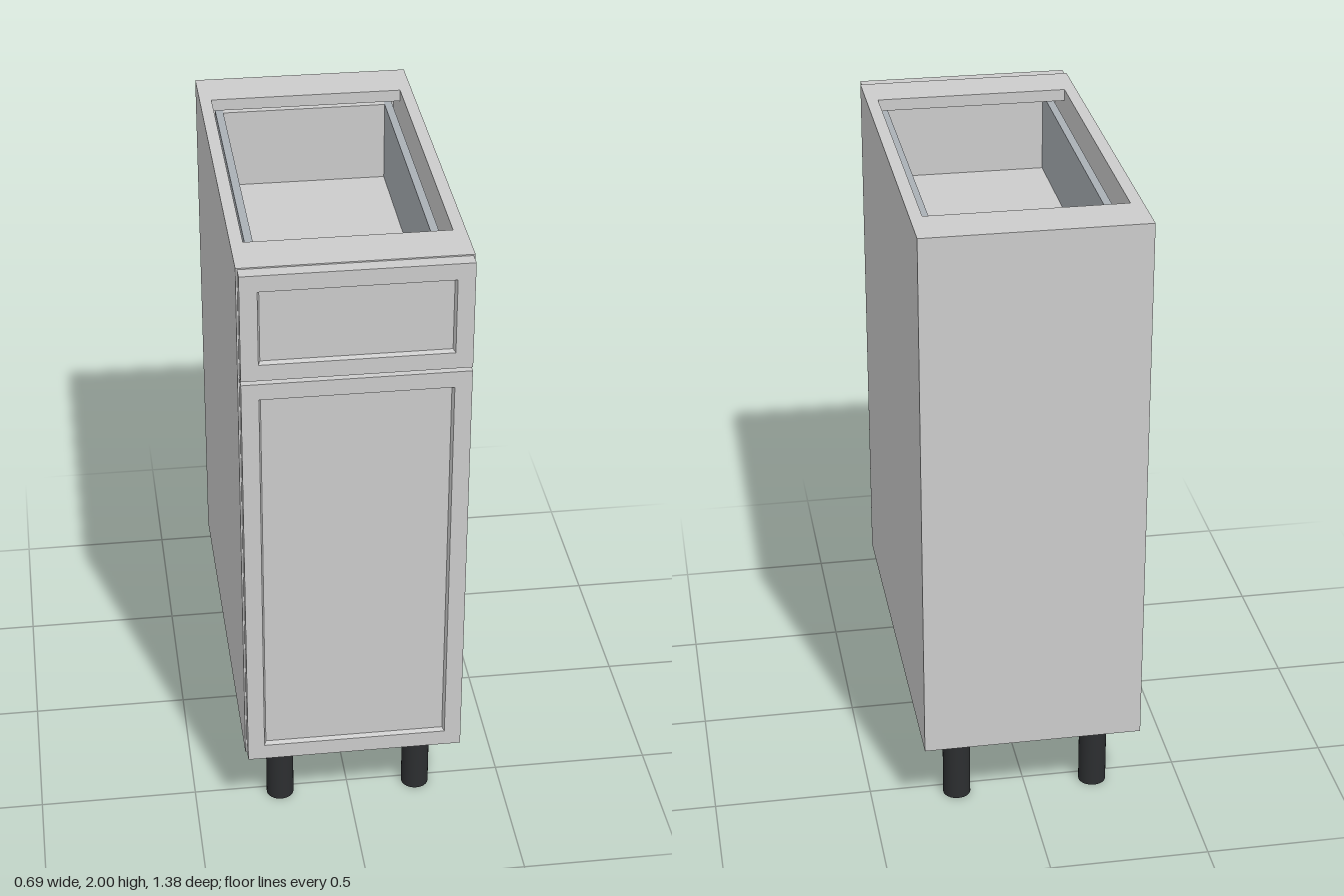
import * as THREE from 'three';

const grey = new THREE.MeshStandardMaterial({ color: 0xcccccc });
const steel = new THREE.MeshStandardMaterial({ color: 0xaab0b6 });
const black = new THREE.MeshStandardMaterial({ color: 0x2c2e30 });

// Box given by its lower and upper corners
function box(name, [x0, y0, z0], [x1, y1, z1], material = grey) {
  const mesh = new THREE.Mesh(new THREE.BoxGeometry(x1 - x0, y1 - y0, z1 - z0), material);
  mesh.position.set((x0 + x1) / 2, (y0 + y1) / 2, (z0 + z1) / 2);
  mesh.name = name;
  return mesh;
}

// Framed front: rectangular loops run from the back edge to the sunken centre panel
function framedFront(name, halfWidth, y0, y1, z0, z1) {
  const frame = 0.052, slope = 0.006, depth = 0.015;
  const loops = [[0, z0], [0, z1], [frame, z1], [frame + slope, z1 - depth]].map(([inset, z]) => {
    const x = halfWidth - inset, b = y0 + inset, t = y1 - inset;
    return [[-x, b, z], [x, b, z], [x, t, z], [-x, t, z]];
  });
  const points = [];
  const quad = (a, b, c, d) => points.push(...a, ...b, ...c, ...a, ...c, ...d);
  for (let i = 0; i < loops.length - 1; i++) {
    for (let k = 0; k < 4; k++) {
      const n = (k + 1) % 4;
      quad(loops[i][k], loops[i][n], loops[i + 1][n], loops[i + 1][k]);
    }
  }
  quad(...loops[loops.length - 1]);
  quad(...[...loops[0]].reverse());
  const geometry = new THREE.BufferGeometry();
  geometry.setAttribute('position', new THREE.Float32BufferAttribute(points, 3));
  geometry.computeVertexNormals();
  const mesh = new THREE.Mesh(geometry, grey);
  mesh.name = name;
  return mesh;
}

export function createModel() {
  const cabinet = new THREE.Group();
  cabinet.name = 'baseCabinet';
  const W = 0.345, IN = 0.307, BACK = -0.69, FRONT = 0.645, LOW = 0.265, TOP = 2;

  // Carcass
  cabinet.add(
    box('leftSide', [IN, LOW, BACK], [W, TOP, FRONT]),
    box('rightSide', [-W, LOW, BACK], [-IN, TOP, FRONT]),
    box('bottomPanel', [-IN, LOW, BACK], [IN, LOW + 0.038, FRONT]),
    box('backPanel', [-IN, LOW + 0.038, BACK], [IN, TOP - 0.038, BACK + 0.038]),
    box('backStretcher', [-IN, TOP - 0.038, BACK], [IN, TOP, -0.525]),
    box('frontStretcher', [-IN, TOP - 0.038, 0.485], [IN, TOP, FRONT]),
    box('drawerRail', [-IN, 1.61, 0.485], [IN, 1.648, FRONT])
  );

  // Drawer box with steel sides and runners
  const drawer = new THREE.Group();
  drawer.name = 'drawer';
  drawer.add(
    box('drawerBottom', [-0.29, 1.65, -0.6], [0.29, 1.67, FRONT]),
    box('drawerBack', [-0.265, 1.67, -0.6], [0.265, 1.93, -0.575])
  );
  for (const [side, s] of [['left', 1], ['right', -1]]) {
    const span = (a, b) => [Math.min(s * a, s * b), Math.max(s * a, s * b)];
    const [a, b] = span(0.265, 0.29), [c, d] = span(0.29, 0.303);
    drawer.add(
      box(side + 'DrawerSide', [a, 1.67, -0.6], [b, 1.93, FRONT], steel),
      box(side + 'Runner', [c, 1.66, -0.6], [d, 1.72, 0.62], steel)
    );
  }
  drawer.add(framedFront('drawerFront', 0.34, 1.654, 1.996, FRONT, 0.69));
  cabinet.add(drawer);

  // Door
  cabinet.add(framedFront('door', 0.34, 0.27, 1.642, FRONT, 0.69));

  // Legs
  const legGeometry = new THREE.CylinderGeometry(0.044, 0.044, LOW, 32);
  for (const x of [-0.223, 0.223]) {
    for (const z of [-0.54, 0.525]) {
      const leg = new THREE.Mesh(legGeometry, black);
      leg.name = (z > 0 ? 'front' : 'back') + (x > 0 ? 'Left' : 'Right') + 'Leg';
      leg.position.set(x, LOW / 2, z);
      cabinet.add(leg);
    }
  }
  return cabinet;
}
